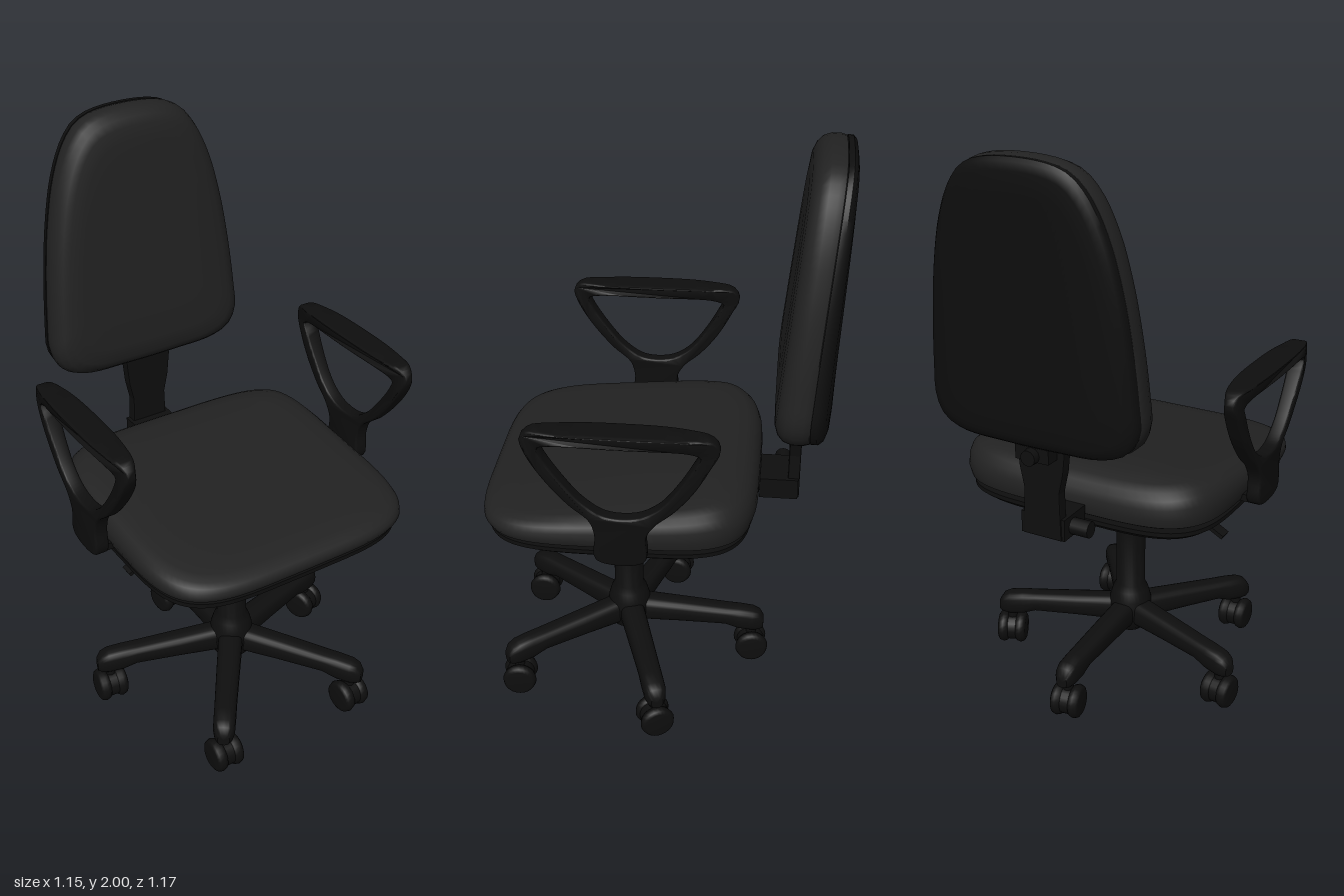
import * as THREE from 'three';
import { toCreasedNormals } from 'three/addons/utils/BufferGeometryUtils.js';

const fabric = new THREE.MeshStandardMaterial({ color: 0x222222 });
const plastic = new THREE.MeshStandardMaterial({ color: 0x0e0e0e });
const V = (x, y, z) => new THREE.Vector3(x, y, z);

function add(parent, name, geo, mat = plastic, x = 0, y = 0, z = 0) {
  const m = new THREE.Mesh(geo, mat);
  m.name = name;
  m.position.set(x, y, z);
  parent.add(m);
  return m;
}

// Skin a list of equal-length rings and close both ends
function loft(rings, crease = 0.7) {
  const n = rings[0].length, pts = rings.flat(), idx = [];
  const centre = (r) => r.reduce((s, p) => s.add(p), V(0, 0, 0)).divideScalar(n);
  const last = (rings.length - 1) * n, c0 = pts.length, c1 = c0 + 1;
  pts.push(centre(rings[0]), centre(rings[rings.length - 1]));
  for (let i = 0; i < n; i++) {
    const k = (i + 1) % n;
    for (let j = 0; j < rings.length - 1; j++) {
      const a = j * n + i, b = j * n + k;
      idx.push(a, b, a + n, b, b + n, a + n);
    }
    idx.push(k, i, c0, last + i, last + k, c1);
  }
  const g = new THREE.BufferGeometry().setFromPoints(pts);
  g.setIndex(idx);
  return toCreasedNormals(g, crease);
}

// Unit superellipse with exponent e
function superEllipse(n, e) {
  return Array.from({ length: n }, (_, i) => {
    const t = (i / n) * Math.PI * 2, c = Math.cos(t), s = Math.sin(t);
    return [Math.sign(c) * Math.abs(c) ** (2 / e), Math.sign(s) * Math.abs(s) ** (2 / e)];
  });
}

const spline = (pts, n) =>
  new THREE.CatmullRomCurve3(pts.map(([x, y]) => V(x, y, 0)), true, 'centripetal').getSpacedPoints(n).slice(0, n);

function buildSeat(chair) {
  const outline = superEllipse(72, 4.5);
  const ring = (s, yAt) => outline.map(([a, b]) => {
    const z = 0.125 - b * 0.46 * s;
    return V(a * 0.482 * s, yAt(z), z);
  });
  // Cushion top rises toward the back, then rolls off
  const top = (z) => (z > -0.2 ? 0.945 - (z + 0.2) * 0.11 : 0.945 - (z + 0.2) ** 2 * 1.4);
  const cushion = [[0.95, 0], [0.985, 0.08], [1, 0.3], [0.995, 0.55], [0.975, 0.74], [0.94, 0.87], [0.88, 0.95],
    [0.75, 0.985], [0.5, 1], [0.2, 1]];
  add(chair, 'seatCushion', loft(cushion.map(([s, f]) => ring(s, (z) => 0.795 + (top(z) - 0.795) * f))), fabric);
  // Pan under the cushion, recessed from below
  const pan = [[0.72, 0.772], [0.78, 0.737], [0.85, 0.735], [0.92, 0.75], [0.965, 0.768], [0.965, 0.783]];
  add(chair, 'seatPan', loft(pan.map(([s, y]) => ring(s, () => y))));
  add(chair, 'seatCore', new THREE.BoxGeometry(0.6, 0.05, 0.06), plastic, 0, 0.785, 0.1);
  // Tilt mechanism and rear bracket
  add(chair, 'mechanism', new THREE.BoxGeometry(0.2, 0.05, 0.36), plastic, 0, 0.757, 0.06);
  add(chair, 'rearBar', new THREE.BoxGeometry(0.1, 0.05, 0.36), plastic, 0, 0.8, -0.24);
  add(chair, 'bracketHousing', new THREE.BoxGeometry(0.16, 0.075, 0.13), plastic, 0, 0.803, -0.4);
  const knob = add(chair, 'bracketKnob', new THREE.CylinderGeometry(0.028, 0.028, 0.07, 12), plastic, -0.11, 0.8, -0.41);
  knob.rotation.z = Math.PI / 2;
  // Height lever with a flat paddle
  const path = new THREE.CatmullRomCurve3([V(-0.08, 0.765, 0.08), V(-0.17, 0.735, 0.08), V(-0.33, 0.65, 0.08)]);
  add(chair, 'heightLever', new THREE.TubeGeometry(path, 10, 0.009, 8));
  const paddle = add(chair, 'leverPaddle', new THREE.BoxGeometry(0.1, 0.014, 0.045), plastic, -0.35, 0.642, 0.08);
  paddle.rotation.z = 0.5;
}

function buildBack(chair) {
  const half = [[0.1, 1.1], [0.26, 1.108], [0.335, 1.14], [0.365, 1.2], [0.363, 1.3], [0.347, 1.48], [0.322, 1.65],
    [0.285, 1.8], [0.235, 1.91], [0.18, 1.97], [0.1, 1.997]];
  const outline = spline([...half, ...half.map(([x, y]) => [-x, y]).reverse()], 80);
  // d = inset from the outline, f = 0 at the shell back to 1 at the cushion face
  const ring = (d, f) => outline.map((p) => {
    const x = p.x * (1 - d / 0.37), y = 1.54 + (p.y - 1.54) * (1 - d / 0.45);
    const rear = -0.553 - 0.042 * (y - 1.1), thick = 0.19 - 0.055 * (y - 1.1);
    return V(x, y, rear + thick * f + 0.035 * Math.abs(x / 0.37) ** 4 * (1 - f));
  });
  const cushion = [[0.02, 0.22], [0.005, 0.27], [0, 0.4], [0, 0.6], [0.008, 0.77], [0.025, 0.89], [0.05, 0.96],
    [0.1, 0.99], [0.2, 1], [0.3, 1]];
  add(chair, 'backCushion', loft(cushion.map((r) => ring(...r))), fabric);
  const shell = [[0.33, 0], [0.22, 0], [0.1, 0], [0.04, 0.01], [0.015, 0.05], [0.004, 0.13], [0.004, 0.25]];
  add(chair, 'backShell', loft(shell.map((r) => ring(...r))));

  // Upright that carries the backrest
  const side = [[0.065, 0.77], [0.06, 0.93], [0.075, 1.0], [0.083, 1.08], [0.083, 1.25]];
  const shape = new THREE.Shape([...side, ...side.map(([x, y]) => [-x, y]).reverse()].map((p) => new THREE.Vector2(...p)));
  add(chair, 'backUpright', new THREE.ExtrudeGeometry(shape, {
    depth: 0.03, bevelSize: 0.005, bevelThickness: 0.005, bevelSegments: 2,
  }), plastic, 0, 0, -0.465);
  add(chair, 'uprightCollar', new THREE.BoxGeometry(0.12, 0.06, 0.07), plastic, 0, 1.08, -0.485);
  const knob = add(chair, 'backKnob', new THREE.CylinderGeometry(0.03, 0.026, 0.06, 12), plastic, 0, 1.07, -0.515);
  knob.rotation.x = Math.PI / 2;
}

function armrestGeometry() {
  // Side profile: (z, y), a rounded triangular loop on a short stem
  const v2 = (pts) => pts.map((p) => new THREE.Vector2(p.x, p.y));
  const outer = spline([[0.155, 0.81], [0.158, 0.9], [0.175, 0.955], [0.24, 1.015], [0.31, 1.1], [0.365, 1.19],
    [0.38, 1.235], [0.36, 1.26], [0.28, 1.265], [0.08, 1.268], [-0.12, 1.265], [-0.2, 1.255], [-0.217, 1.228],
    [-0.19, 1.17], [-0.14, 1.08], [-0.08, 1.005], [-0.02, 0.95], [0.008, 0.9], [0.012, 0.81]], 110);
  const inner = spline([[0.13, 0.965], [0.2, 1.01], [0.26, 1.08], [0.325, 1.18], [0.335, 1.215], [0.3, 1.228],
    [0.08, 1.233], [-0.13, 1.228], [-0.17, 1.21], [-0.155, 1.175], [-0.1, 1.08], [-0.04, 1.005], [0.03, 0.965]], 90);
  const shape = new THREE.Shape(v2(outer));
  shape.holes.push(new THREE.Path(v2(inner)));
  const g = new THREE.ExtrudeGeometry(shape, { depth: 1.4, bevelSize: 0.006, bevelThickness: 0.3, bevelSegments: 3 });
  g.translate(0, 0, -0.7);
  g.rotateY(-Math.PI / 2);
  // Flare the width toward the top pad, which is oval in plan
  const p = g.attributes.position;
  for (let i = 0; i < p.count; i++) {
    const y = p.getY(i), t = Math.max(0, (y - 1.03) / 0.24), u = (p.getZ(i) - 0.08) / 0.308;
    const oval = Math.sqrt(Math.max(0.04, 1 - Math.abs(u) ** 2.6));
    const w = THREE.MathUtils.lerp(0.024, 0.051 * oval, Math.min(1, t * t));
    p.setX(i, p.getX(i) * w);
  }
  return toCreasedNormals(g, 0.7);
}

function buildArms(chair) {
  const geo = armrestGeometry();
  for (const s of [1, -1]) {
    const side = s > 0 ? 'left' : 'right';
    add(chair, side + 'Armrest', geo, plastic, s * 0.523, 0, 0);
    add(chair, side + 'ArmBracket', new THREE.BoxGeometry(0.24, 0.025, 0.13), plastic, s * 0.42, 0.81, 0.083);
  }
}

function buildBase(chair) {
  const base = new THREE.Group();
  base.name = 'base';
  base.position.z = 0.13;
  chair.add(base);
  // Hub, outer sleeve and gas column
  const profile = [[0, 0.12], [0.045, 0.122], [0.07, 0.145], [0.08, 0.2], [0.075, 0.25], [0.065, 0.285], [0.053, 0.31],
    [0.053, 0.53], [0.044, 0.532], [0.044, 0.77]].map((p) => new THREE.Vector2(...p));
  add(base, 'column', toCreasedNormals(new THREE.LatheGeometry(profile, 32), 0.7));

  // Leg stations: reach, top, bottom, half width
  const section = superEllipse(20, 3);
  const stations = [[0.02, 0.25, 0.15, 0.045], [0.2, 0.235, 0.152, 0.042], [0.36, 0.222, 0.15, 0.039],
    [0.41, 0.22, 0.132, 0.039], [0.46, 0.214, 0.128, 0.038], [0.485, 0.203, 0.13, 0.032], [0.5, 0.18, 0.135, 0.02]];
  const leg = loft(stations.map(([r, t, b, w]) =>
    section.map(([c, s]) => V(r, (t + b) / 2 + (c * (t - b)) / 2, s * w))));
  const wheel = new THREE.LatheGeometry([[0, -0.02], [0.045, -0.02], [0.055, -0.014], [0.06, 0], [0.055, 0.014],
    [0.045, 0.02], [0, 0.02]].map((p) => new THREE.Vector2(...p)), 24);
  const yaws = [0.15, -0.1, 0, 0.1, 0.4];

  for (let i = 0; i < 5; i++) {
    const a = Math.PI / 2 + (i * Math.PI * 2) / 5; // first leg points straight back
    add(base, 'leg', leg).rotation.y = a;
    const caster = new THREE.Group();
    caster.name = 'caster';
    caster.position.set(Math.cos(a) * 0.455, 0.061, -Math.sin(a) * 0.455);
    caster.rotation.y = yaws[i];
    base.add(caster);
    add(caster, 'casterStem', new THREE.CylinderGeometry(0.018, 0.018, 0.07, 12), plastic, 0, 0.065, 0);
    const hood = add(caster, 'casterHood', new THREE.CylinderGeometry(0.05, 0.05, 0.03, 20));
    hood.rotation.z = Math.PI / 2;
    for (const s of [1, -1]) {
      add(caster, 'wheel', wheel, plastic, s * 0.032, 0, 0).rotation.z = Math.PI / 2;
    }
  }
}

export function createModel() {
  const chair = new THREE.Group();
  chair.name = 'officeChair';
  buildSeat(chair);
  buildBack(chair);
  buildArms(chair);
  buildBase(chair);
  return chair;
}
